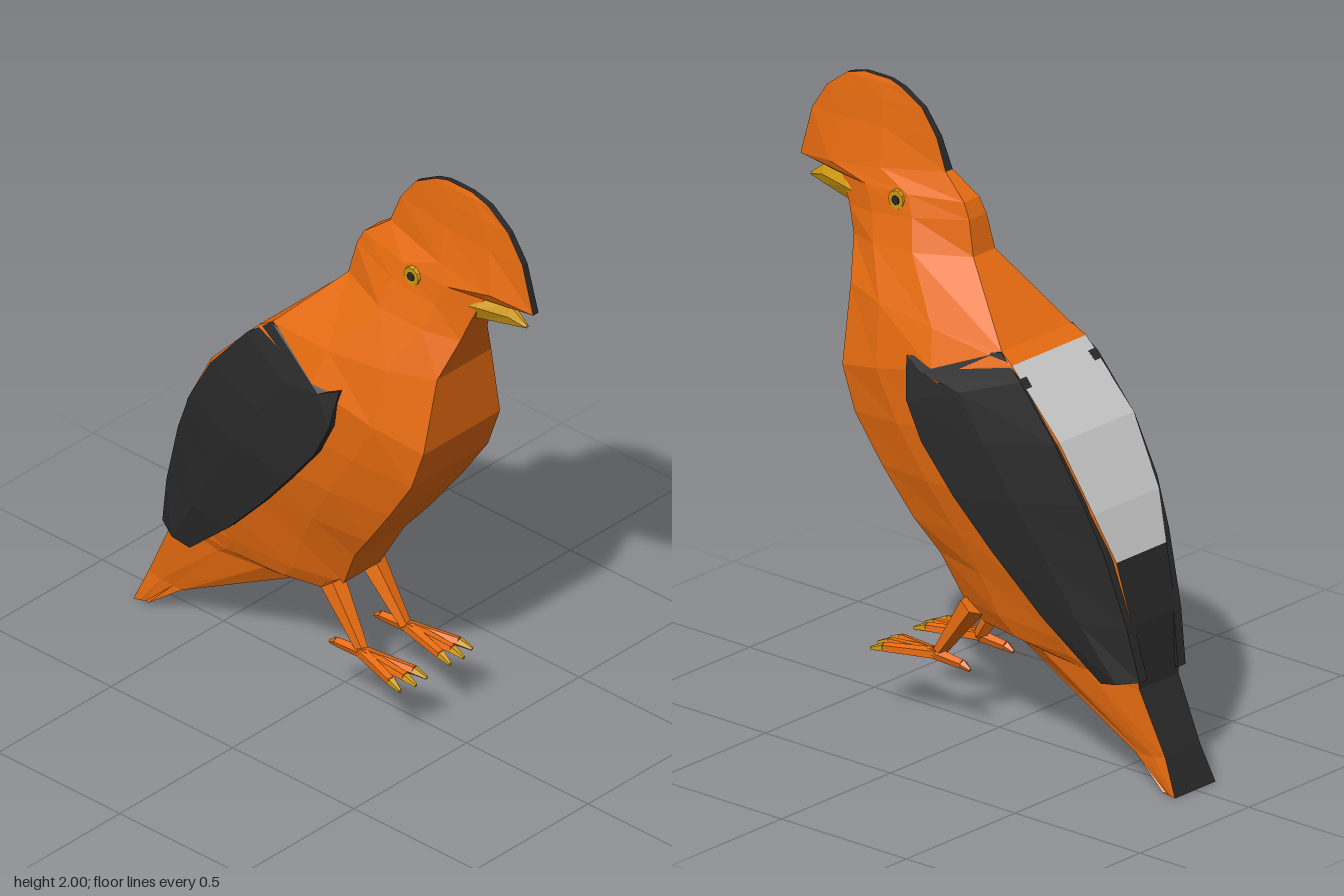
import * as THREE from 'three';

const mat = (color) => new THREE.MeshStandardMaterial({ color, flatShading: true, roughness: 0.9 });
const ORANGE = mat(0xe86c10), BLACK = mat(0x2a2a2a), GREY = mat(0xcccccc), YELLOW = mat(0xd09a12);

// Skins a list of equal-length rings; keep(row, column) picks the quads to build.
function loft(rings, keep = () => true, capStart = true, capEnd = true) {
  const pos = [], n = rings[0].length;
  const tri = (a, b, c) => pos.push(...a, ...b, ...c);
  for (let i = 0; i < rings.length - 1; i++) {
    for (let j = 0; j < n; j++) {
      if (!keep(i, j)) continue;
      const k = (j + 1) % n;
      const a = rings[i][j], b = rings[i + 1][j], c = rings[i + 1][k], d = rings[i][k];
      tri(a, b, c);
      tri(a, c, d);
    }
  }
  const first = rings[0], last = rings[rings.length - 1];
  for (let k = 1; k < n - 1; k++) {
    if (capStart) tri(first[0], first[k], first[k + 1]);
    if (capEnd) tri(last[0], last[k + 1], last[k]);
  }
  const g = new THREE.BufferGeometry();
  g.setAttribute('position', new THREE.Float32BufferAttribute(pos, 3));
  g.computeVertexNormals();
  return g;
}

function add(parent, name, geometry, material) {
  const m = new THREE.Mesh(geometry, material);
  m.name = name;
  parent.add(m);
  return m;
}

// Tapered rod between two points
function rod(parent, name, a, b, ra, rb, material, sides = 5) {
  const A = new THREE.Vector3(...a), B = new THREE.Vector3(...b), d = B.clone().sub(A);
  const m = add(parent, name, new THREE.CylinderGeometry(rb, ra, d.length(), sides), material);
  m.position.copy(A).add(B).multiplyScalar(0.5);
  m.quaternion.setFromUnitVectors(new THREE.Vector3(0, 1, 0), d.normalize());
  return m;
}

// Body sections, crest to tail: front z, front y, back z, back y, front / side / back half-widths
const SECTIONS = [
  [0.53, 2.0, 0.43, 2.0, 0.008, 0.009, 0.008],
  [0.60, 1.98, 0.38, 1.985, 0.01, 0.014, 0.01],
  [0.68, 1.92, 0.30, 1.94, 0.01, 0.02, 0.01],
  [0.74, 1.83, 0.24, 1.86, 0.011, 0.027, 0.012],
  [0.785, 1.67, 0.20, 1.76, 0.012, 0.05, 0.016],
  [0.60, 1.655, 0.11, 1.69, 0.03, 0.07, 0.035],
  [0.56, 1.57, 0.085, 1.64, 0.045, 0.085, 0.04],
  [0.53, 1.49, 0.06, 1.53, 0.06, 0.115, 0.05],
  [0.49, 1.36, -0.15, 1.31, 0.12, 0.19, 0.16],
  [0.48, 1.11, -0.20, 1.28, 0.17, 0.23, 0.17],
  [0.43, 0.97, -0.39, 1.08, 0.17, 0.23, 0.172],
  [0.33, 0.82, -0.51, 0.87, 0.16, 0.215, 0.15],
  [0.22, 0.67, -0.57, 0.72, 0.14, 0.185, 0.115],
  [0.14, 0.57, -0.62, 0.52, 0.11, 0.155, 0.1],
  [0.07, 0.43, -0.63, 0.42, 0.08, 0.13, 0.095],
  [0.0, 0.37, -0.635, 0.37, 0.07, 0.115, 0.095],
  [-0.12, 0.36, -0.64, 0.32, 0.06, 0.1, 0.09],
  [-0.61, 0.1, -0.735, 0.12, 0.07, 0.08, 0.08],
  [-0.73, 0.01, -0.785, 0.005, 0.088, 0.09, 0.093],
];

function bodyRing([zf, yf, zb, yb, wf, w, wb]) {
  const at = (x, t) => [x, yf + (yb - yf) * t, zf + (zb - zf) * t];
  const half = [[wf, 0], [w * 0.92, 0.25], [w, 0.6], [wb, 1]];
  return [...half.map(([x, t]) => at(x, t)), ...half.reverse().map(([x, t]) => at(-x, t))];
}

function addBody(bird) {
  const rings = SECTIONS.map(bodyRing);
  const BACK = 3, FRONT = 7;
  const rim = (i, j) => (j === BACK || j === FRONT) && i < 4;
  const rump = (i, j) => j === BACK && i >= 9 && i < 12;
  const tail = (i, j) => j === BACK && i >= 12;
  const plumage = (i, j) => !rim(i, j) && !rump(i, j) && !tail(i, j);
  add(bird, 'body', loft(rings, plumage, false, true), ORANGE);
  add(bird, 'crestRim', loft(rings, rim, true, false), BLACK);
  add(bird, 'rump', loft(rings, rump, false, false), GREY);
  add(bird, 'tailTop', loft(rings, tail, false, false), BLACK);
}

// Wing rows, shoulder to tip: lower edge x, y, z then upper edge x, y, z
const WING = [
  [0.22, 1.23, 0.18, 0.165, 1.31, -0.15],
  [0.245, 1.10, 0.16, 0.178, 1.24, -0.24],
  [0.245, 0.98, 0.10, 0.182, 1.07, -0.385],
  [0.235, 0.83, -0.02, 0.17, 0.90, -0.485],
  [0.21, 0.68, -0.15, 0.15, 0.75, -0.55],
  [0.175, 0.50, -0.32, 0.125, 0.52, -0.62],
  [0.13, 0.32, -0.52, 0.105, 0.35, -0.655],
];

function addWing(bird, side) {
  const rings = WING.map(([lx, ly, lz, ux, uy, uz], i) => {
    const mid = i === 0 ? [0.24, 1.2, 0.11] : [(lx + ux) / 2 + 0.02, (ly + uy) / 2, (lz + uz) / 2];
    const outer = [[lx, ly, lz], mid, [ux, uy, uz]];
    const inner = outer.map(([x, y, z]) => [x - 0.035, y, z]).reverse();
    const ring = [...outer, ...inner].map(([x, y, z]) => [x * side, y, z]);
    return side < 0 ? ring.reverse() : ring;
  });
  add(bird, side > 0 ? 'leftWing' : 'rightWing', loft(rings), BLACK);
}

function addBeak(bird) {
  // z, top, bottom, half-width
  const rows = [[0.48, 1.67, 1.54, 0.05], [0.58, 1.672, 1.575, 0.045], [0.69, 1.66, 1.595, 0.022], [0.75, 1.615, 1.605, 0.006]];
  const rings = rows.map(([z, t, b, w]) => {
    const m = (t + b) / 2;
    return [[w * 0.4, t, z], [w, m, z], [w * 0.5, b, z], [-w * 0.5, b, z], [-w, m, z], [-w * 0.4, t, z]];
  });
  add(bird, 'beak', loft(rings), YELLOW);
}

function addEye(bird, s) {
  const eye = new THREE.Group();
  eye.name = s > 0 ? 'leftEye' : 'rightEye';
  rod(eye, 'iris', [0.045 * s, 1.65, 0.345], [0.08 * s, 1.65, 0.345], 0.036, 0.03, YELLOW, 10);
  rod(eye, 'pupil', [0.07 * s, 1.65, 0.345], [0.084 * s, 1.65, 0.345], 0.018, 0.014, BLACK, 8);
  bird.add(eye);
}

function addLeg(bird, s) {
  const leg = new THREE.Group();
  leg.name = s > 0 ? 'leftLeg' : 'rightLeg';
  rod(leg, 'shank', [0.085 * s, 0.42, 0.03], [0.095 * s, 0.235, 0.16], 0.042, 0.02, ORANGE);
  // Three forward toes and one back toe, each ending in a claw
  const root = [0.1 * s, 0.232, 0.16];
  for (const [x, z] of [[0.06, 0.34], [0.105, 0.345], [0.15, 0.33], [0.1, 0.06]]) {
    const tip = [x * s, 0.224, z];
    const claw = [(x + (x - 0.1) * 0.2) * s, 0.212, z + (z > 0.16 ? 0.045 : -0.03)];
    rod(leg, 'toe', root, tip, 0.02, 0.016, ORANGE);
    rod(leg, 'claw', tip, claw, 0.016, 0.006, z > 0.16 ? YELLOW : ORANGE);
  }
  bird.add(leg);
}

export function createModel() {
  const bird = new THREE.Group();
  bird.name = 'bird';
  addBody(bird);
  addBeak(bird);
  for (const side of [1, -1]) {
    addWing(bird, side);
    addEye(bird, side);
    addLeg(bird, side);
  }
  return bird;
}
